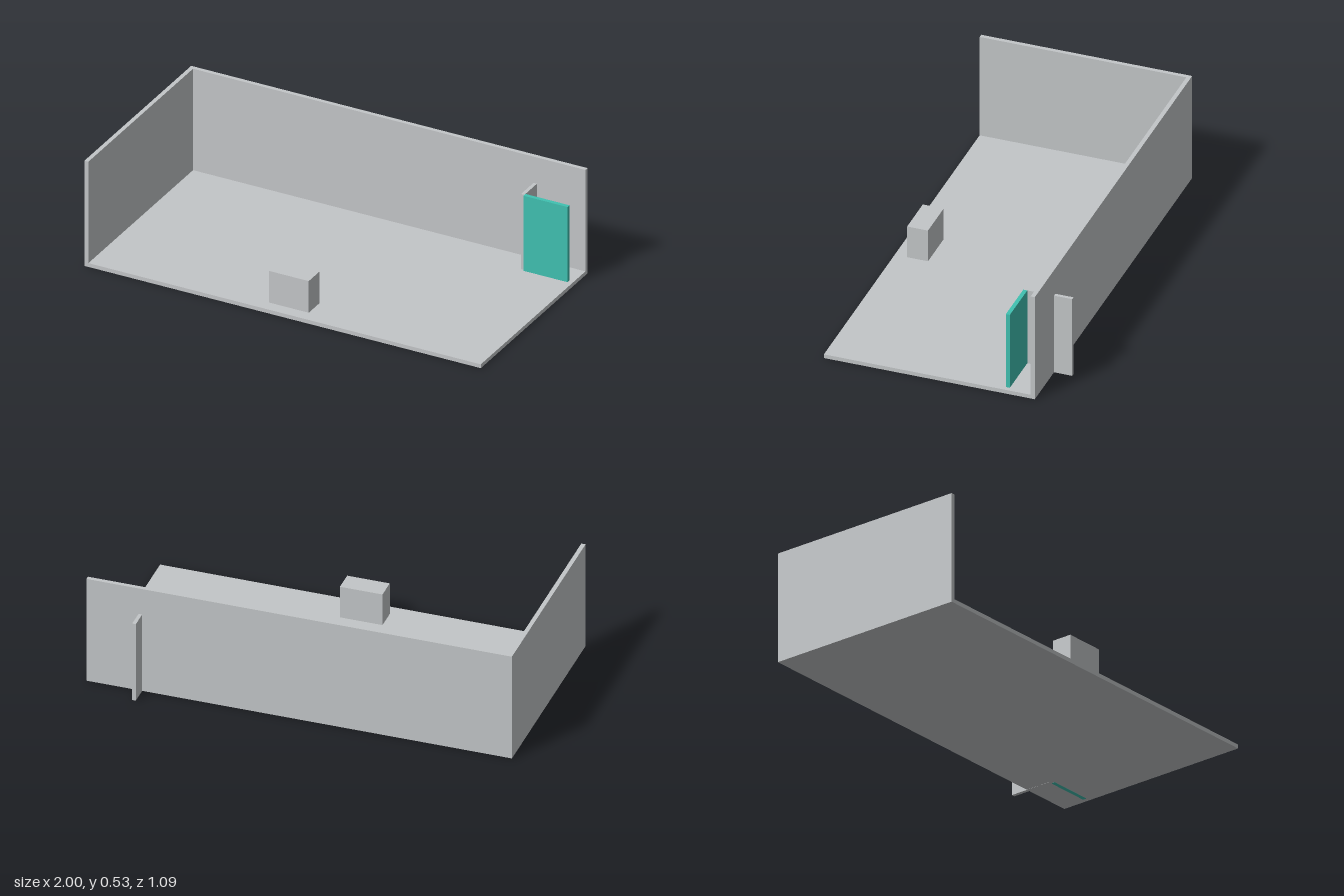
import * as THREE from 'three';

export function createModel() {
  const group = new THREE.Group();
  const grey = new THREE.MeshStandardMaterial({ color: 0xc3c6c8 });
  grey.name = 'light grey';
  const teal = new THREE.MeshStandardMaterial({ color: 0x40c1b1 });
  teal.name = 'teal';

  // Box given by its limits on each axis
  function box(name, material, [x0, x1], [y0, y1], [z0, z1]) {
    const mesh = new THREE.Mesh(new THREE.BoxGeometry(x1 - x0, y1 - y0, z1 - z0), material);
    mesh.position.set((x0 + x1) / 2, (y0 + y1) / 2, (z0 + z1) / 2);
    mesh.name = name;
    group.add(mesh);
  }

  const height = 0.533, back = -0.457, front = 0.543, t = 0.02;

  // Room shell; the floor underside sits a hair above the door panel's foot
  box('floor', grey, [-1, 1], [0.0007, t], [back, front]);
  box('backWall', grey, [-1, 1], [t, height], [back, back + t]);
  box('sideWall', grey, [-1, -1 + t], [t, height], [back + t, front]);

  // Upright panel passing through the back wall, and the teal door beside it
  box('partition', grey, [0.738, 0.755], [0, 0.4], [-0.543, -0.32]);
  box('door', teal, [0.755, 0.977], [0, 0.4], [-0.33, -0.311]);

  // Small block near the front edge
  box('block', grey, [-0.1, 0.1], [t, 0.18], [0.385, 0.484]);

  return group;
}
